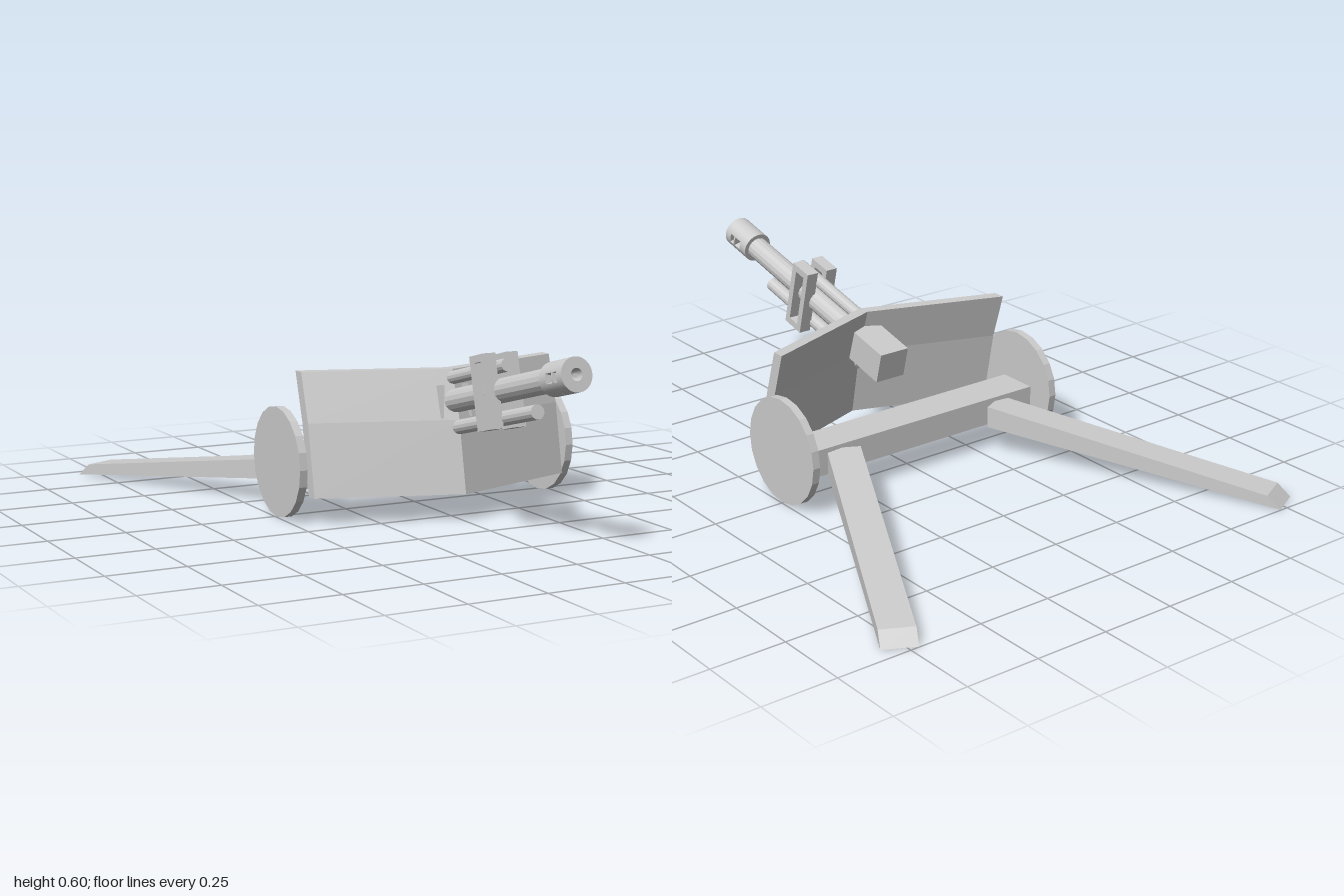
import * as THREE from 'three';

const mat = new THREE.MeshStandardMaterial({ color: 0xcccccc, flatShading: true });

function add(parent, name, geometry, x = 0, y = 0, z = 0) {
  const mesh = new THREE.Mesh(geometry, mat);
  mesh.name = name;
  mesh.position.set(x, y, z);
  parent.add(mesh);
  return mesh;
}

const polygon = (pts) => new THREE.Shape(pts.map(([x, y]) => new THREE.Vector2(x, y)));

const extrude = (shape, depth, steps = 1) =>
  new THREE.ExtrudeGeometry(shape, { depth, steps, bevelEnabled: false, curveSegments: 16 });

// Cylinder along z between two stations
function rod(parent, name, radius, y, zBack, zFront, sides = 14) {
  const geo = new THREE.CylinderGeometry(radius, radius, zFront - zBack, sides).rotateX(Math.PI / 2);
  return add(parent, name, geo, 0, y, (zBack + zFront) / 2);
}

// Solid ring sector along z
function ringSector(parent, zBack, zFront, a0, a1) {
  const s = new THREE.Shape();
  s.absarc(0, 0, 0.052, a0, a1, false);
  s.absarc(0, 0, 0.019, a1, a0, true);
  s.closePath();
  add(parent, 'muzzleBrakeSection', extrude(s, zFront - zBack), 0, 0, zBack);
}

function buildMuzzleBrake() {
  const brake = new THREE.Group();
  brake.name = 'muzzleBrake';
  const w = 0.3;
  // Upper and lower halves: full sections meet, vented sections leave side windows
  const sections = [[-0.03, 0, 0], [-0.05, -0.03, w], [-0.057, -0.05, 0], [-0.09, -0.057, w], [-0.125, -0.09, 0]];
  for (const [back, front, gap] of sections) {
    ringSector(brake, back, front, gap, Math.PI - gap);
    ringSector(brake, back, front, Math.PI + gap, 2 * Math.PI - gap);
  }
  return brake;
}

// Gun assembly: origin at the muzzle face, barrel running back along -z
function buildGun() {
  const gun = new THREE.Group();
  gun.name = 'gun';
  gun.add(buildMuzzleBrake());
  rod(gun, 'barrel', 0.038, 0, -0.78, -0.1, 16);
  rod(gun, 'upperRecoilCylinder', 0.021, 0.073, -0.76, -0.383);
  rod(gun, 'lowerRecoilCylinder', 0.023, -0.084, -0.78, -0.239);
  add(gun, 'breech', new THREE.BoxGeometry(0.11, 0.105, 0.2), 0, 0, -0.835);

  // Pair of windowed side frames clamping the cylinders
  const frame = polygon([[-0.044, -0.115], [0.044, -0.115], [0.044, 0.115], [-0.044, 0.115]]);
  frame.holes.push(polygon([[-0.022, -0.092], [-0.022, 0.092], [0.022, 0.092], [0.022, -0.092]]));
  for (const side of [-1, 1]) {
    const geo = extrude(frame, 0.042).translate(0, 0, -0.021).rotateY(-Math.PI / 2);
    add(gun, 'clampFrame', geo, side * 0.039, 0, -0.46);
  }
  gun.position.set(0, 0.553, 0.986);
  gun.rotation.x = -0.243;
  return gun;
}

// Swept-back shield: slanted, slightly bent profile across x, sheared into a V
function buildShield() {
  const profile = polygon([[0.305, 0.09], [0.347, 0.09], [0.303, 0.32], [0.256, 0.475], [0.214, 0.475], [0.261, 0.32]]);
  const geo = extrude(profile, 0.9, 2).rotateY(-Math.PI / 2).translate(0.45, 0, 0);
  const p = geo.attributes.position;
  for (let i = 0; i < p.count; i++) p.setZ(i, p.getZ(i) - 0.35 * Math.abs(p.getX(i)));
  geo.computeVertexNormals();
  return geo;
}

export function createModel() {
  const model = new THREE.Group();
  model.name = 'fieldGun';

  add(model, 'shield', buildShield());
  add(model, 'axleBeam', new THREE.BoxGeometry(0.95, 0.09, 0.137), 0, 0.14, -0.005);
  model.add(buildGun());

  // Tapered trail leg with a slanted tip
  const legProfile = polygon([[0, 0.1], [1.01, 0.004], [0.965, 0.044], [0, 0.172]]);
  const legGeo = extrude(legProfile, 0.11).translate(0, 0, -0.055);

  for (const side of [-1, 1]) {
    const wheel = new THREE.CylinderGeometry(0.177, 0.177, 0.026, 20).rotateZ(Math.PI / 2);
    add(model, side > 0 ? 'leftWheel' : 'rightWheel', wheel, side * 0.482, 0.18, 0.005);
    const leg = add(model, side > 0 ? 'leftTrail' : 'rightTrail', legGeo, side * 0.31, 0, -0.075);
    leg.rotation.y = Math.PI / 2 - side * 0.472;
  }
  return model;
}
